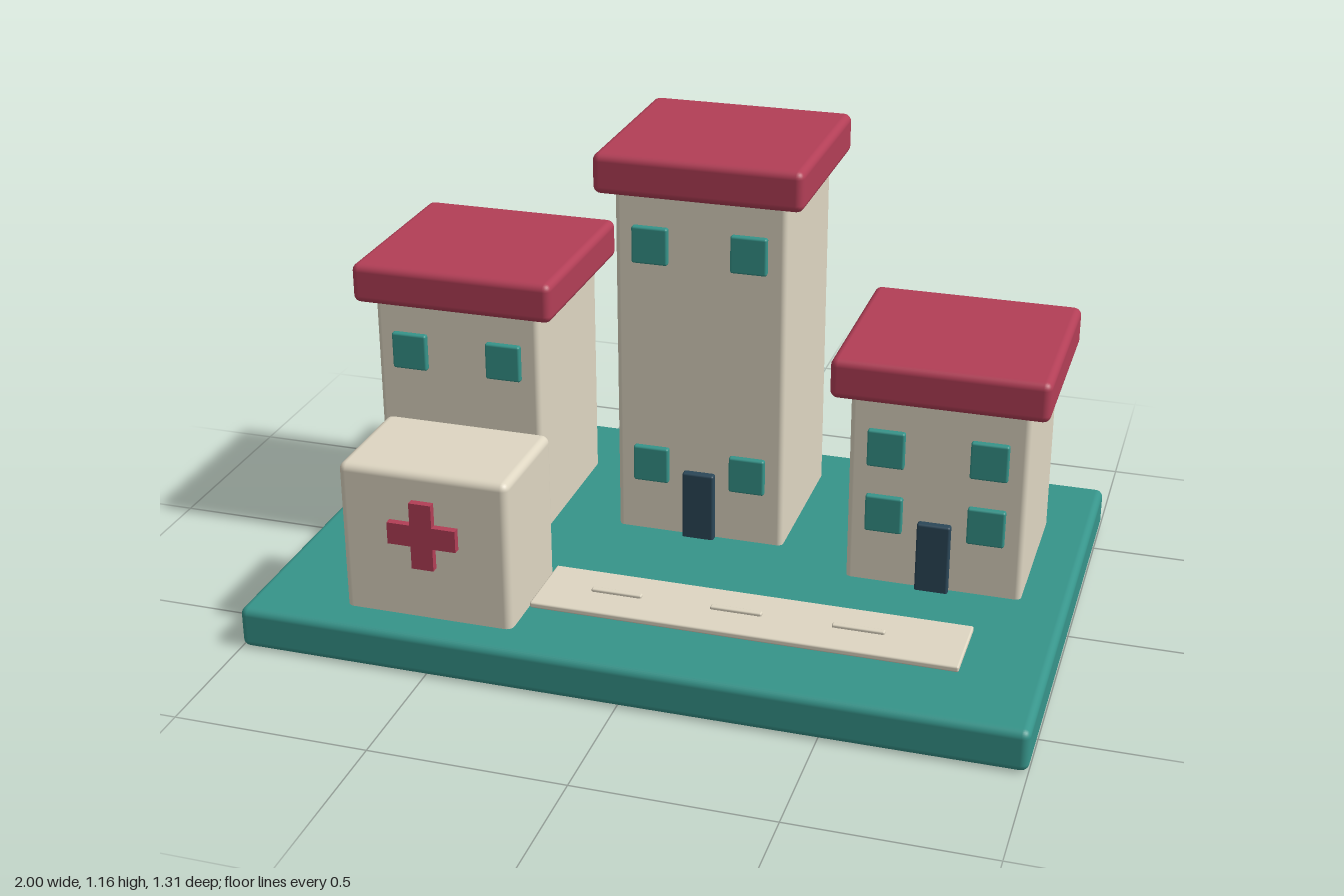
import * as THREE from 'three';
import { RoundedBoxGeometry } from 'three/addons/geometries/RoundedBoxGeometry.js';

const mat = (name, color) => new THREE.MeshStandardMaterial({ name, color });

export function createModel() {
  const teal = mat('teal', 0x36948a);
  const red = mat('red', 0xb23e56);
  const cream = mat('cream', 0xded6c2);
  const navy = mat('navy', 0x2b4758);

  const model = new THREE.Group();
  model.name = 'town';

  // Rounded block given by its centre in x and z, and its bottom and top in y
  function block(parent, name, material, x, z, bottom, top, w, d, r) {
    const mesh = new THREE.Mesh(new RoundedBoxGeometry(w, top - bottom, d, 3, r), material);
    mesh.position.set(x, (bottom + top) / 2, z);
    mesh.name = name;
    parent.add(mesh);
    return mesh;
  }

  const GROUND = 0.11;
  block(model, 'base', teal, 0, 0, 0, GROUND, 2, 1.31, 0.02);

  // Buildings: walls, overhanging roof slab, two rows of windows and a door
  function building(name, x, z, wallTop, upperRow) {
    const g = new THREE.Group();
    g.name = name;
    g.position.set(x, 0, z);
    const front = 0.2275;
    block(g, 'walls', cream, 0, 0, GROUND - 0.025, wallTop + 0.02, 0.455, 0.455, 0.015);
    block(g, 'roof', red, 0, 0, wallTop, wallTop + 0.107, 0.55, 0.535, 0.02);
    for (const y of [0.308, upperRow]) {
      for (const side of [-1, 1]) {
        block(g, 'window', teal, side * 0.131, front + 0.008, y - 0.05, y + 0.05, 0.096, 0.02, 0.006);
      }
    }
    block(g, 'door', navy, 0, front + 0.01, GROUND - 0.01, 0.298, 0.086, 0.024, 0.006);
    model.add(g);
  }
  building('leftBuilding', -0.633, -0.182, 0.732, 0.6);
  building('tower', -0.002, -0.291, 1.058, 0.925);
  building('rightBuilding', 0.651, -0.182, 0.622, 0.49);

  // Clinic with a raised cross on its front
  const clinic = new THREE.Group();
  clinic.name = 'clinic';
  block(clinic, 'clinicWalls', cream, -0.525, 0.402, GROUND - 0.025, 0.507, 0.445, 0.31, 0.02);
  const a = 0.09, b = 0.029;
  const crossShape = new THREE.Shape([
    [-b, -a], [b, -a], [b, -b], [a, -b], [a, b], [b, b],
    [b, a], [-b, a], [-b, b], [-a, b], [-a, -b], [-b, -b],
  ].map(([x, y]) => new THREE.Vector2(x, y)));
  const cross = new THREE.Mesh(
    new THREE.ExtrudeGeometry(crossShape, { depth: 0.023, bevelEnabled: false }), red);
  cross.position.set(-0.525, 0.344, 0.553);
  cross.name = 'cross';
  clinic.add(cross);
  model.add(clinic);

  // Road slab with three raised dashes
  block(model, 'road', cream, 0.25, 0.348, 0.117, 0.133, 1.09, 0.205, 0.005);
  for (const x of [-0.098, 0.215, 0.527]) {
    block(model, 'roadDash', cream, x, 0.346, 0.13, 0.141, 0.133, 0.016, 0.004);
  }

  return model;
}
